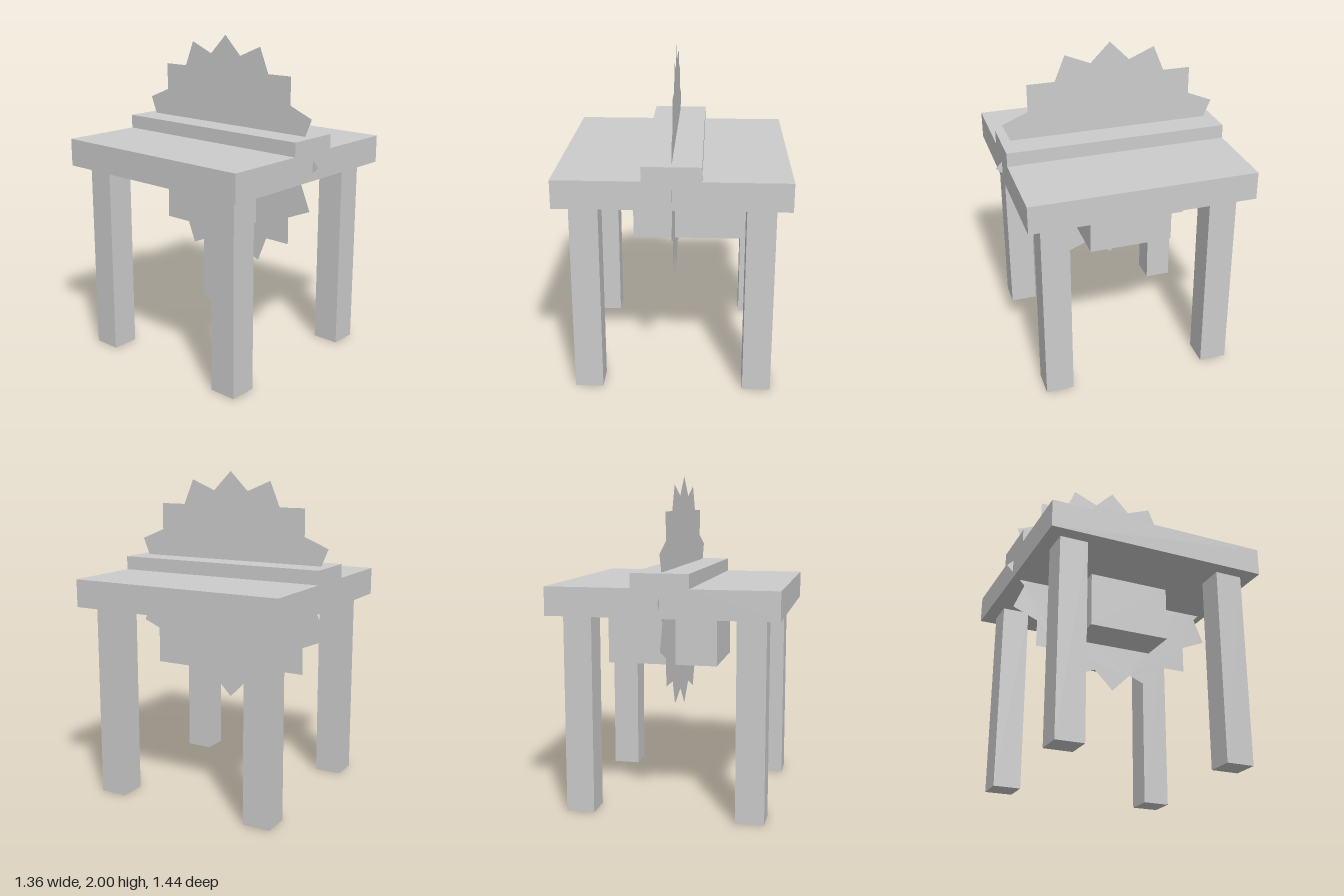
import * as THREE from 'three';

export function createModel() {
  const saw = new THREE.Group();
  saw.name = 'tableSaw';
  const grey = new THREE.MeshStandardMaterial({ color: 0xcccccc, flatShading: true });
  const thin = new THREE.MeshStandardMaterial({ color: 0xcccccc, side: THREE.DoubleSide });

  const add = (name, geometry, x, y, z, material = grey) => {
    const mesh = new THREE.Mesh(geometry, material);
    mesh.name = name;
    mesh.position.set(x, y, z);
    saw.add(mesh);
    return mesh;
  };

  // Table top with the raised strip along its middle
  const half = 0.68;
  const profile = new THREE.Shape([
    [-half, 1.195], [half, 1.195], [half, 1.365], [0.17, 1.365],
    [0.17, 1.45], [-0.17, 1.45], [-0.17, 1.365], [-half, 1.365],
  ].map(([x, y]) => new THREE.Vector2(x, y)));
  add('tableTop', new THREE.ExtrudeGeometry(profile, { depth: 2 * half, bevelEnabled: false }), 0, 0, -half);

  // Four square legs
  for (const x of [-0.511, 0.511])
    for (const z of [-0.511, 0.511])
      add('leg', new THREE.BoxGeometry(0.17, 1.195, 0.17), x, 0.5975, z);

  // Motor housing hanging under the table, offset to the left
  add('motorHousing', new THREE.BoxGeometry(0.681, 0.34, 0.511), 0.085, 1.025, 0);

  // Paper-thin saw blade with sixteen teeth
  const teeth = 16;
  const rim = [];
  for (let i = 0; i < teeth * 2; i++) {
    const angle = (i * Math.PI) / teeth;
    const radius = i % 2 ? 0.612 : 0.72;
    rim.push(new THREE.Vector2(Math.cos(angle) * radius, Math.sin(angle) * radius));
  }
  const blade = add('sawBlade', new THREE.ShapeGeometry(new THREE.Shape(rim)), 0, 1.28, 0, thin);
  blade.rotation.y = Math.PI / 2;

  return saw;
}
